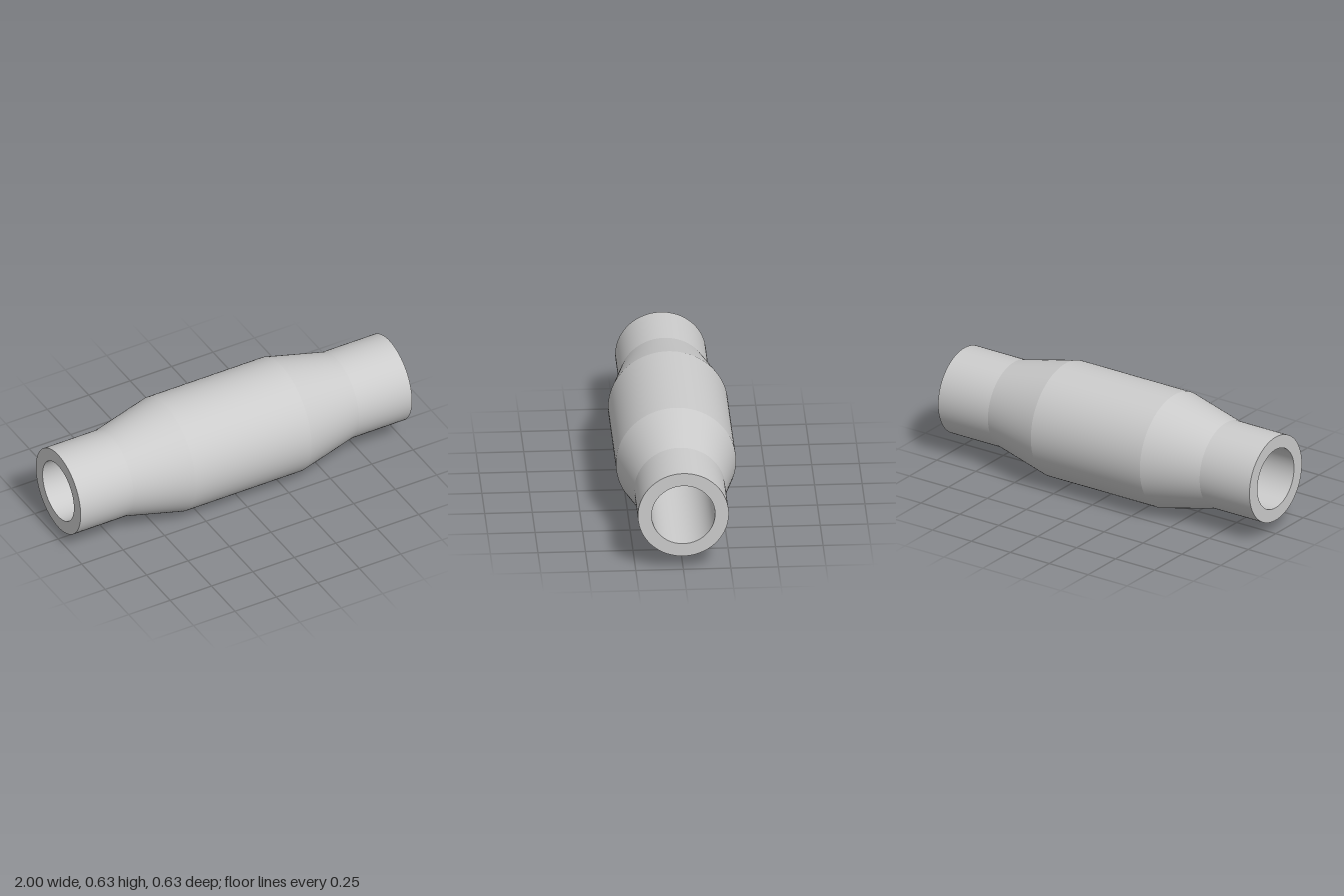
import * as THREE from 'three';

const SIDES = 128;
const BODY_R = 0.316, END_R = 0.239, BORE_R = 0.167;
const BODY_X = 0.35, NECK_X = 0.68, END_X = 1;

export function createModel() {
  const group = new THREE.Group();
  group.name = 'taperedSleeve';
  const material = new THREE.MeshStandardMaterial({ color: 0xcccccc });

  // One band of revolution about the x axis, from [x, radius] to [x, radius];
  // separate bands keep the edges between them sharp.
  const band = (name, [x0, r0], [x1, r1]) => {
    const profile = [new THREE.Vector2(r0, x0), new THREE.Vector2(r1, x1)];
    const geometry = new THREE.LatheGeometry(profile, SIDES).rotateZ(-Math.PI / 2);
    const mesh = new THREE.Mesh(geometry, material);
    mesh.name = name;
    group.add(mesh);
  };

  // Outer surface, right to left
  band('rightCollar', [-END_X, END_R], [-NECK_X, END_R]);
  band('rightTaper', [-NECK_X, END_R], [-BODY_X, BODY_R]);
  band('body', [-BODY_X, BODY_R], [BODY_X, BODY_R]);
  band('leftTaper', [BODY_X, BODY_R], [NECK_X, END_R]);
  band('leftCollar', [NECK_X, END_R], [END_X, END_R]);

  // Flat ring ends and the straight bore through the middle
  band('leftEndFace', [END_X, END_R], [END_X, BORE_R]);
  band('bore', [END_X, BORE_R], [-END_X, BORE_R]);
  band('rightEndFace', [-END_X, BORE_R], [-END_X, END_R]);

  group.position.y = BODY_R;
  return group;
}
